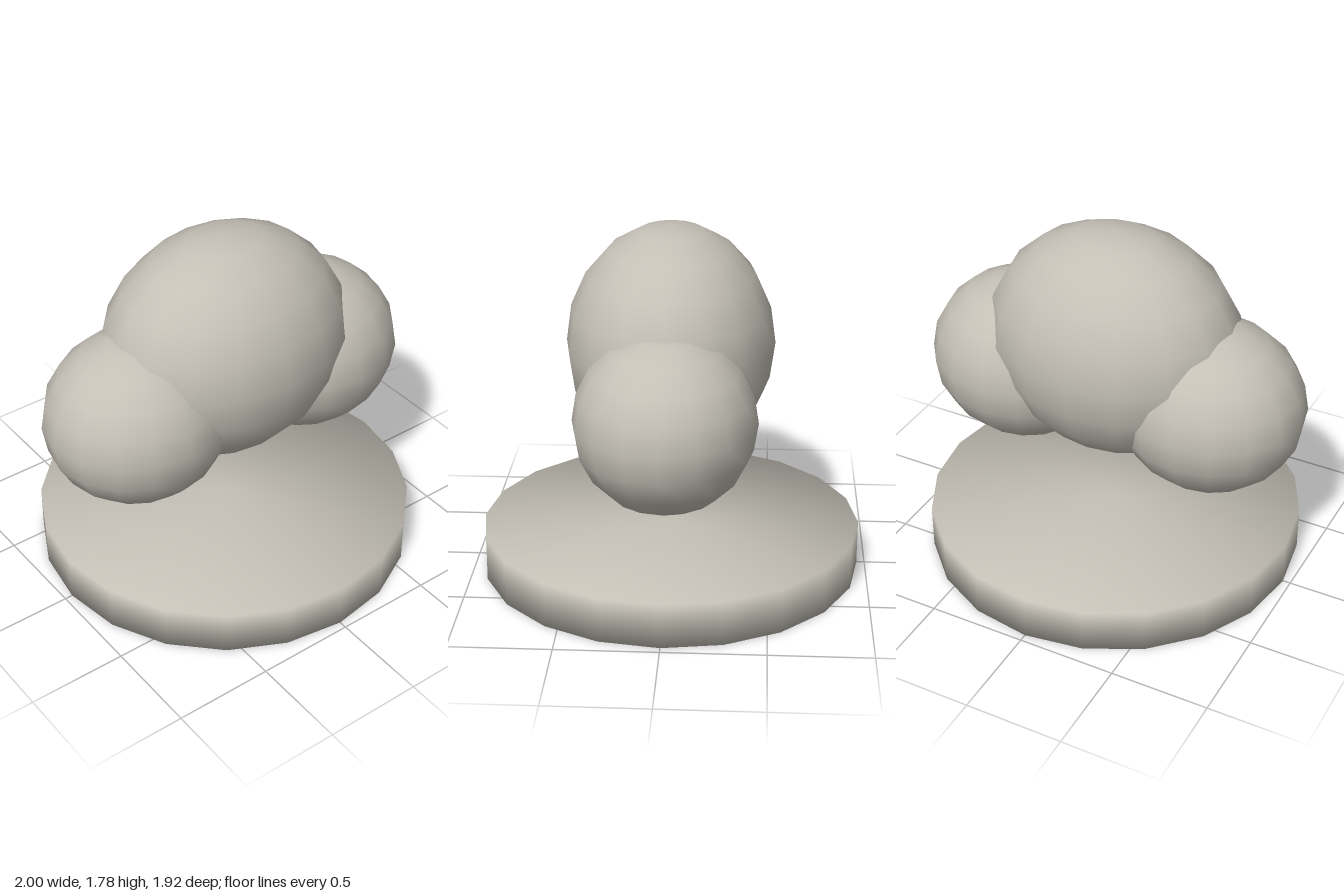
import * as THREE from 'three';

const stone = new THREE.MeshStandardMaterial({ color: 0xc4c0b6 });
stone.name = 'warm grey';

// Low-poly smooth ellipsoid with its poles along y
function puff(name, x, y, rx, ry, rz) {
  const geometry = new THREE.SphereGeometry(1, 16, 10);
  geometry.scale(rx, ry, rz);
  geometry.translate(x, y, 0);
  const mesh = new THREE.Mesh(geometry, stone);
  mesh.name = name;
  return mesh;
}

// Round slab with softly shaded rims
function slab(radius, height, sides) {
  const geometry = new THREE.CylinderGeometry(radius, radius, height, sides);
  const p = geometry.attributes.position;
  const n = new THREE.Vector3();
  for (let i = 0; i < p.count; i++) {
    // Blend wall and cap normals at the rim, keep the cap centre vertical
    n.set(p.getX(i) / radius, Math.sign(p.getY(i)), p.getZ(i) / radius).normalize();
    geometry.attributes.normal.setXYZ(i, n.x, n.y, n.z);
  }
  geometry.translate(0, height / 2, 0);
  const mesh = new THREE.Mesh(geometry, stone);
  mesh.name = 'baseDisc';
  return mesh;
}

export function createModel() {
  const model = new THREE.Group();
  model.name = 'cloudOverDisc';

  model.add(slab(0.96, 0.225, 20));

  // Cloud: a large middle puff with a smaller one on each side
  const cloud = new THREE.Group();
  cloud.name = 'cloud';
  cloud.add(puff('middlePuff', 0, 1.19, 0.66, 0.59, 0.517));
  for (const side of [1, -1]) {
    cloud.add(puff(side > 0 ? 'leftPuff' : 'rightPuff', side * 0.52, 0.962, 0.48, 0.438, 0.442));
  }
  model.add(cloud);

  return model;
}
